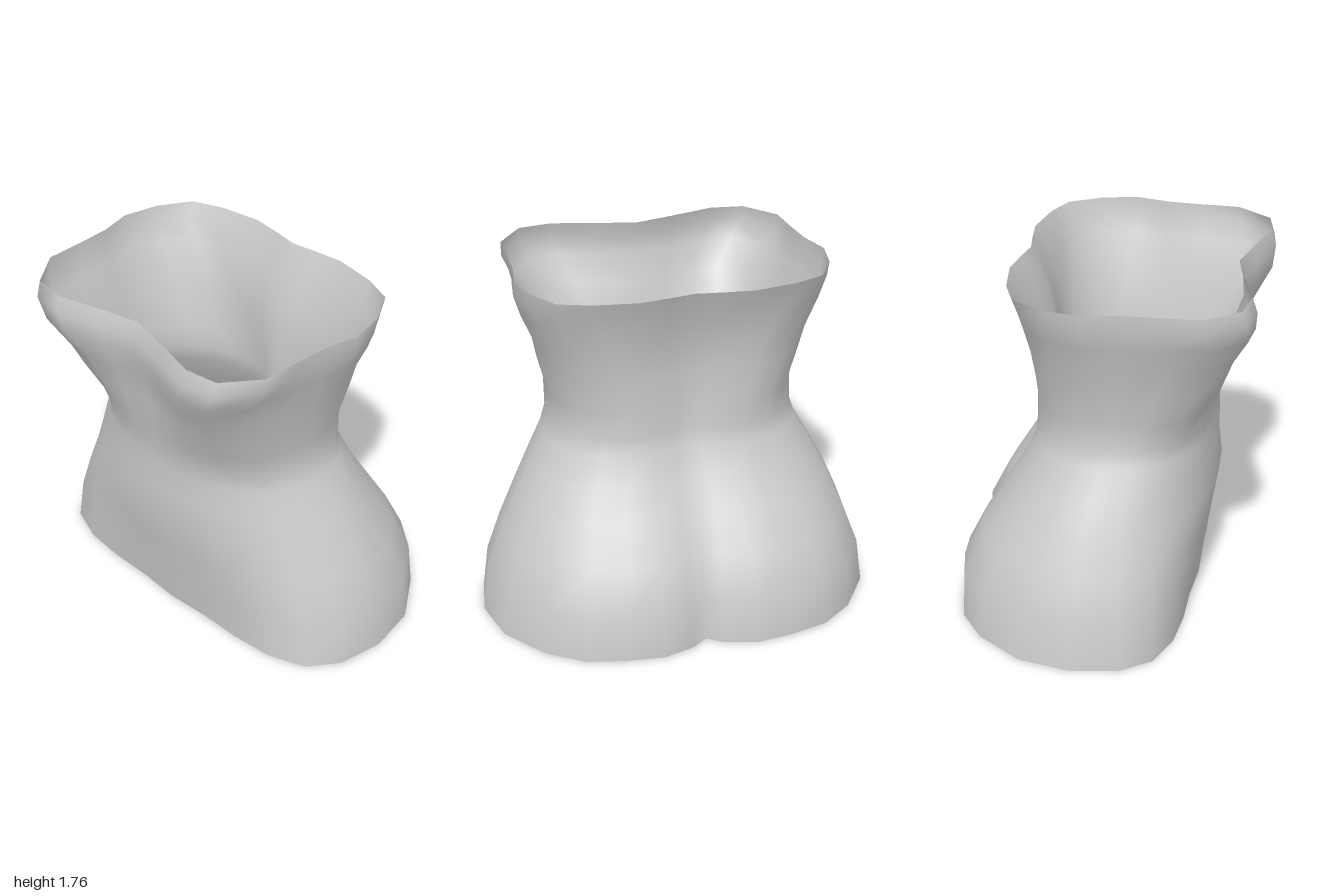
import * as THREE from 'three';

// Half outlines as x, z pairs, running from the front centre round the left side to the back centre
const hips = [0, .435, .22, .42, .45, .42, .66, .40, .85, .33, .96, .18, 1, -.05,
  .95, -.31, .79, -.54, .62, -.665, .42, -.715, .24, -.735, .08, -.69, 0, -.63];
const belly = [0, .53, .2, .52, .38, .48, .55, .41, .68, .31, .78, .16, .81, -.02,
  .77, -.2, .66, -.35, .52, -.45, .36, -.495, .22, -.5, .09, -.475, 0, -.45];
const waist = [0, .515, .14, .51, .28, .49, .42, .43, .55, .34, .6, .2, .61, .08,
  .6, -.08, .53, -.2, .42, -.29, .3, -.33, .17, -.33, .06, -.295, 0, -.285];
const ribs = [0, .57, .15, .6, .3, .635, .44, .63, .57, .55, .65, .35, .68, .12,
  .69, -.05, .62, -.22, .5, -.32, .36, -.35, .22, -.35, .1, -.32, 0, -.31];
const chest = [0, .62, .2, .67, .43, .735, .6, .71, .73, .53, .735, .33, .745, .15,
  .785, -.02, .745, -.2, .65, -.36, .5, -.42, .28, -.455, .12, -.435, 0, -.415];
const keys = [[0, hips], [.62, belly], [1.07, waist], [1.42, ribs], [1.68, chest], [1.757, chest]];

// Each ring: height, half width, front z, back z
const rings = [
  [0, 1, .44, -.735], [.23, .97, .47, -.72], [.43, .895, .5, -.62], [.62, .81, .53, -.5],
  [.77, .73, .515, -.41], [.92, .645, .515, -.345], [1.0, .615, .515, -.335], [1.13, .61, .54, -.33],
  [1.3, .655, .595, -.335], [1.44, .69, .645, -.35], [1.58, .75, .725, -.39],
  [1.68, .78, .735, -.425], [1.757, .785, .71, -.46],
];

// Blend the two nearest outlines and fit the result to the ring's measurements
function section([y, width, front, back]) {
  let k = 0;
  while (k < keys.length - 2 && y > keys[k + 1][0]) k++;
  const [y0, a] = keys[k], [y1, b] = keys[k + 1];
  const t = (y - y0) / (y1 - y0);
  const half = [];
  for (let i = 0; i < a.length; i += 2) {
    half.push([THREE.MathUtils.lerp(a[i], b[i], t), THREE.MathUtils.lerp(a[i + 1], b[i + 1], t)]);
  }
  const maxX = Math.max(...half.map(p => p[0]));
  const maxZ = Math.max(...half.map(p => p[1]));
  const minZ = Math.min(...half.map(p => p[1]));
  const fitted = half.map(([x, z]) => [x * width / maxX, y, z > 0 ? z * front / maxZ : z * back / minZ]);
  const mirrored = fitted.slice(1, -1).reverse().map(([x, h, z]) => [-x, h, z]);
  return [...fitted, ...mirrored];
}

// Skin the rings into one open tube
function loft(sections) {
  const n = sections[0].length;
  const index = [];
  for (let i = 0; i < sections.length - 1; i++) {
    for (let j = 0; j < n; j++) {
      const a = i * n + j, b = i * n + (j + 1) % n;
      index.push(a, b, b + n, a, b + n, a + n);
    }
  }
  const geometry = new THREE.BufferGeometry();
  geometry.setAttribute('position', new THREE.Float32BufferAttribute(sections.flat(2), 3));
  geometry.setIndex(index);
  geometry.computeVertexNormals();
  return geometry;
}

export function createModel() {
  const group = new THREE.Group();
  group.name = 'torso';
  const grey = new THREE.MeshStandardMaterial({ color: 0xcccccc, side: THREE.DoubleSide });
  grey.name = 'light grey';

  // Open torso shell from hips to chest
  const shell = new THREE.Mesh(loft(rings.map(section)), grey);
  shell.name = 'torsoShell';
  group.add(shell);
  return group;
}
